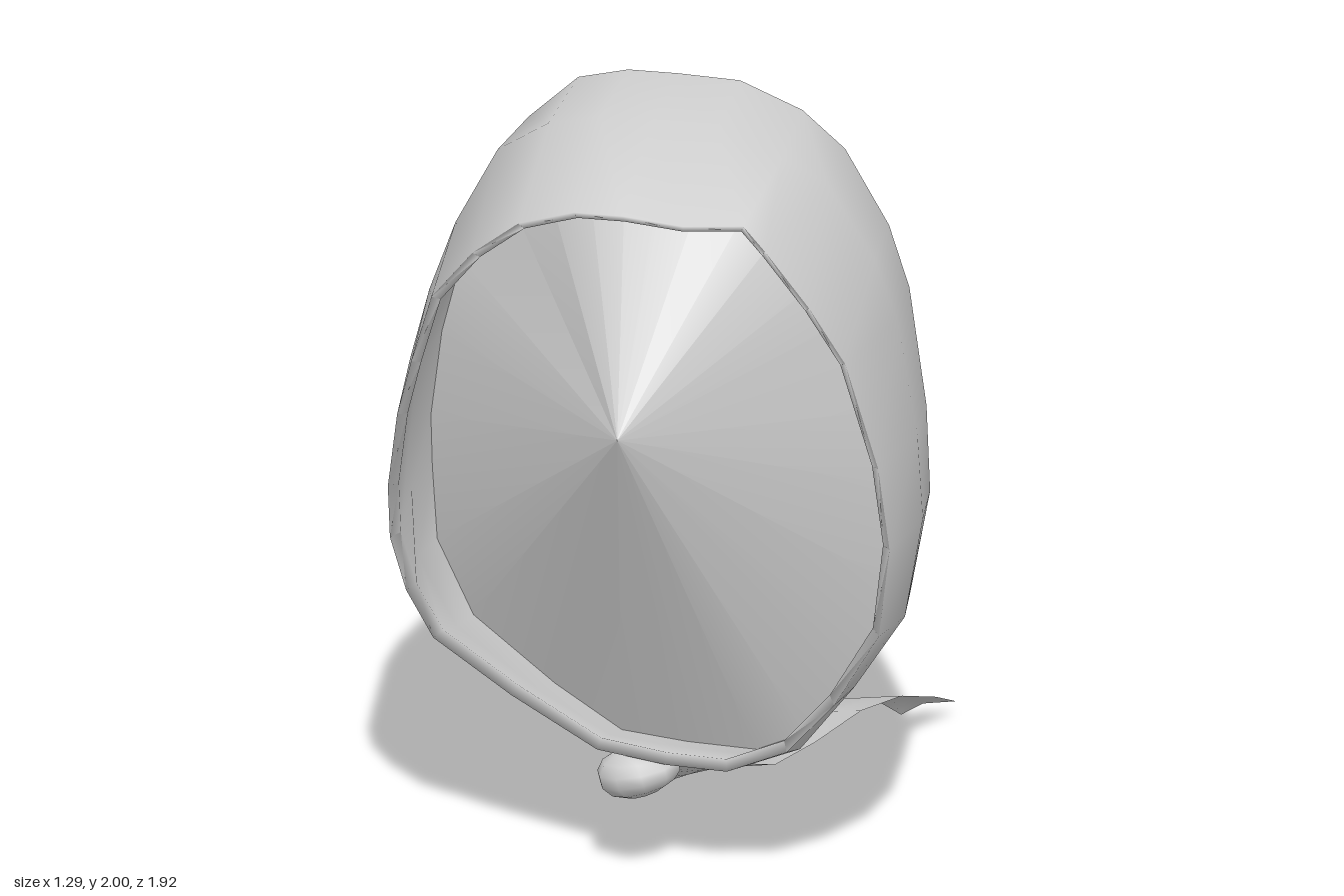
import * as THREE from 'three';

const material = new THREE.MeshStandardMaterial({ color: 0xcccccc, side: THREE.DoubleSide });
const V = (x, y, z) => new THREE.Vector3(x, y, z);

// Skin a list of cross-sections (rows of points) into a smooth mesh.
function skin(name, rows, closed) {
  const n = rows[0].length, pos = [], index = [];
  rows.forEach(r => r.forEach(p => pos.push(p.x, p.y, p.z)));
  for (let i = 0; i < rows.length - 1; i++) {
    for (let j = 0; j < (closed ? n : n - 1); j++) {
      const a = i * n + j, b = i * n + (j + 1) % n;
      index.push(a, b, a + n, b, b + n, a + n);
    }
  }
  const g = new THREE.BufferGeometry();
  g.setAttribute('position', new THREE.Float32BufferAttribute(pos, 3));
  g.setIndex(index);
  g.computeVertexNormals();
  const mesh = new THREE.Mesh(g, material);
  mesh.name = name;
  return mesh;
}

// Piecewise linear lookup in a list of [key, value].
function lookup(table, k) {
  for (let i = 1; i < table.length; i++) {
    const [k0, v0] = table[i - 1], [k1, v1] = table[i];
    if (k <= k1) return THREE.MathUtils.lerp(v0, v1, Math.max(0, (k - k0) / (k1 - k0)));
  }
  return table[table.length - 1][1];
}

// Widest outline and front opening, both counter-clockwise from the top.
const outline = [
  [0, 1.97], [-.13, 1.965], [-.26, 1.93], [-.39, 1.84], [-.5, 1.63], [-.57, 1.44], [-.62, 1.25],
  [-.648, 1.03], [-.643, .9], [-.625, .72], [-.52, .55], [-.3, .41], [-.12, .32], [.05, .31],
  [.23, .31], [.35, .36], [.48, .53], [.6, .72], [.645, .98], [.635, 1.2], [.59, 1.5],
  [.54, 1.66], [.43, 1.85], [.32, 1.91], [.16, 1.97]];
const opening = [
  [0, 1.835], [-.12, 1.83], [-.26, 1.78], [-.38, 1.68], [-.49, 1.54], [-.55, 1.35], [-.59, 1.2],
  [-.62, 1], [-.62, .86], [-.585, .72], [-.52, .6], [-.33, .47], [-.12, .35], [.05, .33],
  [.2, .33], [.35, .4], [.47, .54], [.585, .74], [.62, .98], [.6, 1.2], [.53, 1.48],
  [.45, 1.63], [.35, 1.78], [.3, 1.845], [.15, 1.825]];
const frontZ = [[.31, .71], [.73, .74], [1.44, .83], [1.84, .92]];
const backZ = [[.31, .52], [.38, .5], [.75, .42], [.95, .405], [1.5, .4], [2, .43]];

function createHood() {
  const hood = new THREE.Group();
  hood.name = 'hood';
  const front = opening.map(([x, y]) => V(x, y, lookup(frontZ, y)));
  const back = outline.map(([x, y], j) => {
    const dent = j === 4 ? .9 : 1;
    return V(x * .955 * dent, y > 1.9 ? y + .03 : y, lookup(backZ, y));
  });
  const middle = outline.map(([x, y], j) => V(x, y, THREE.MathUtils.lerp(back[j].z, front[j].z, .45)));
  const inset = (row, dz) => row.map(p => V(p.x * .965, 1.1 + (p.y - 1.1) * .97, p.z + dz));
  hood.add(skin('band', [back, middle, front, inset(front, -.02), inset(middle, 0), back], true));

  // Pointed panel spanning the back rim, its tip pushed out to the front
  const apex = back.map(() => V(0, 1.27, .96));
  hood.add(skin('panel', [apex, back], true));
  return hood;
}

// Ribbon from rows of [left x, left y, right x, right y, z], with a notched end.
function createTail(name, rows) {
  const across = [0, .3, .57, .7, 1], notch = [0, .02, .1, .035, .03];
  const sections = rows.map(([xl, yl, xr, yr, z], i) => across.map((t, k) => V(
    THREE.MathUtils.lerp(xl, xr, t),
    THREE.MathUtils.lerp(yl, yr, t),
    z + (i === rows.length - 1 ? notch[k] : 0))));
  return skin(name, sections, false);
}

function createKnot() {
  // Rounded lump, pinched toward one side
  const g = new THREE.SphereGeometry(1, 10, 7);
  const p = g.attributes.position;
  for (let i = 0; i < p.count; i++) {
    const x = p.getX(i);
    p.setXYZ(i, x * .105, p.getY(i) * (.06 - .01 * x), p.getZ(i) * .085);
  }
  g.computeVertexNormals();
  const knot = new THREE.Mesh(g, material);
  knot.name = 'knot';
  knot.position.set(-.03, .285, .665);
  knot.rotation.z = .25;
  return knot;
}

export function createModel() {
  const model = new THREE.Group();
  model.name = 'tiedHood';
  model.add(createHood(), createKnot());
  model.add(createTail('rightTail', [
    [-.09, .31, -.01, .26, .66],
    [-.16, .32, -.06, .25, .54],
    [-.24, .31, -.1, .225, .42],
    [-.33, .28, -.14, .2, .29],
    [-.38, .27, -.17, .185, .15],
    [-.4, .29, -.18, .19, 0],
    [-.41, .325, -.185, .21, -.22],
    [-.42, .32, -.19, .2, -.4],
    [-.44, .265, -.195, .135, -.65],
    [-.455, .215, -.2, .085, -.8],
    [-.475, .175, -.23, .05, -.96]]));
  model.add(createTail('leftTail', [
    [0, .25, .06, .31, .66],
    [.02, .22, .15, .28, .55],
    [.04, .2, .24, .235, .43],
    [.08, .18, .28, .21, .22],
    [.12, .175, .33, .205, 0],
    [.14, .125, .375, .165, -.2],
    [.155, .055, .41, .095, -.37],
    [.165, .005, .435, .05, -.487]]));
  return model;
}
